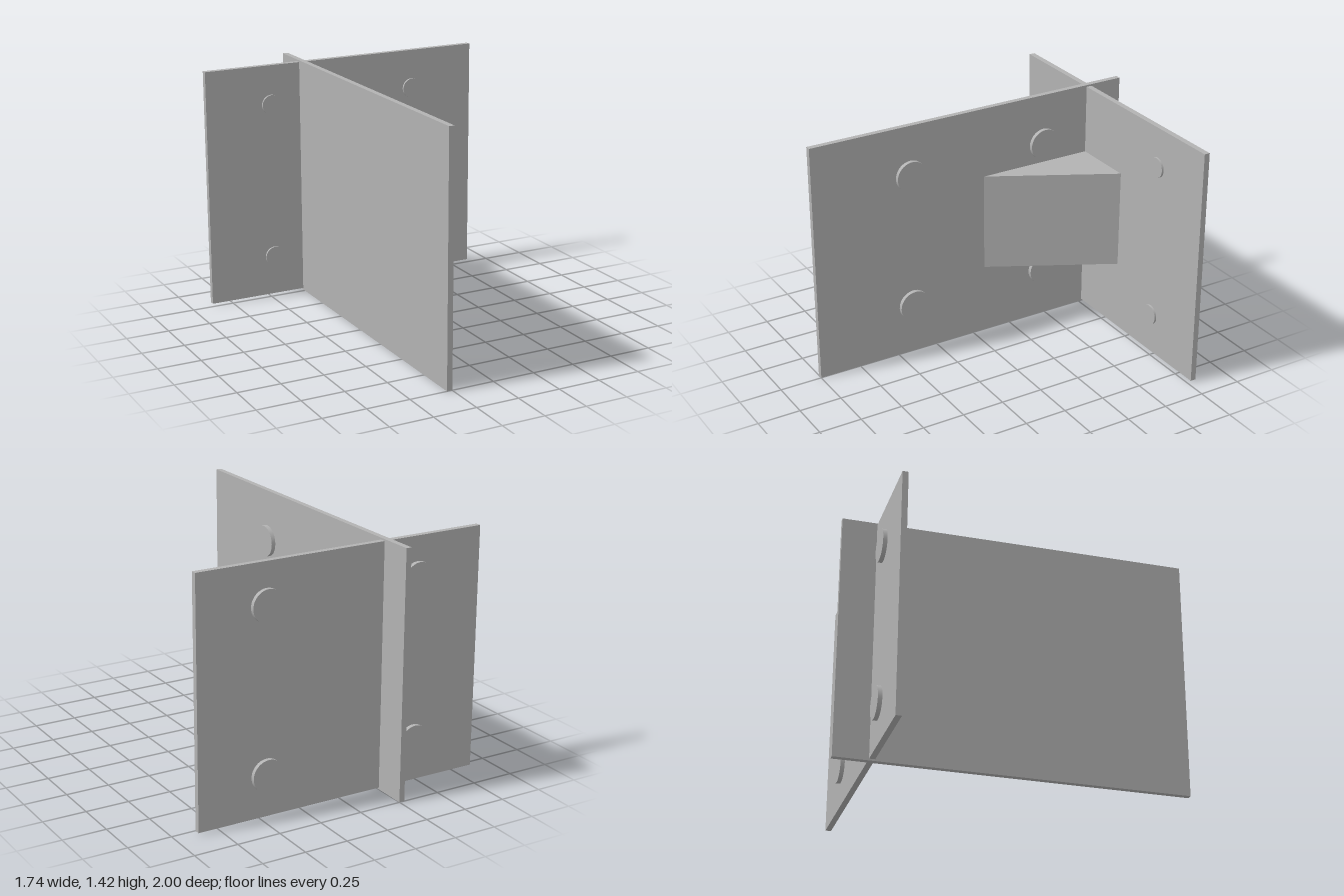
import * as THREE from 'three';

const steel = new THREE.MeshStandardMaterial({ color: 0xb2b2b2 });
steel.name = 'plain grey steel';

export function createModel() {
  const model = new THREE.Group();
  model.name = 'boltedBracket';

  const add = (name, geometry, x, y, z) => {
    const mesh = new THREE.Mesh(geometry, steel);
    mesh.name = name;
    mesh.position.set(x, y, z);
    model.add(mesh);
    return mesh;
  };

  // Box given by its extents
  const plate = (name, x0, x1, y0, y1, z0, z1) =>
    add(name, new THREE.BoxGeometry(x1 - x0, y1 - y0, z1 - z0),
      (x0 + x1) / 2, (y0 + y1) / 2, (z0 + z1) / 2);

  // Two crossing plates
  plate('longPlate', -0.281, -0.249, 0, 1.42, -1, 1);
  plate('crossPlate', -0.87, 0.87, 0.01, 1.41, -0.803, -0.77);

  // Triangular wedge bracing the inner corner
  const wedge = new THREE.Shape([
    new THREE.Vector2(-0.26, 0.78),
    new THREE.Vector2(0.126, 0.78),
    new THREE.Vector2(-0.249, 0.078),
    new THREE.Vector2(-0.26, 0.078),
  ]);
  const wedgeGeometry = new THREE.ExtrudeGeometry(wedge, { depth: 0.583, bevelEnabled: false });
  wedgeGeometry.rotateX(-Math.PI / 2);
  add('cornerWedge', wedgeGeometry, 0, 0.42, 0);

  // Bolts through the cross plate: wide head behind, narrow tip in front
  const head = new THREE.CylinderGeometry(0.092, 0.092, 0.034, 40).rotateX(Math.PI / 2);
  const tip = new THREE.CylinderGeometry(0.058, 0.058, 0.032, 40).rotateX(Math.PI / 2);
  for (const x of [-0.465, 0.463]) {
    for (const y of [0.247, 1.177]) {
      add('crossBoltHead', head, x, y, -0.81);
      add('crossBoltTip', tip, x, y, -0.774);
    }
  }

  // Bolt heads on the long plate's left face
  const sideHead = new THREE.CylinderGeometry(0.092, 0.092, 0.034, 40).rotateZ(Math.PI / 2);
  for (const z of [-0.477, 0.395]) {
    for (const y of [0.305, 1.12]) add('longBoltHead', sideHead, -0.242, y, z);
  }

  return model;
}
